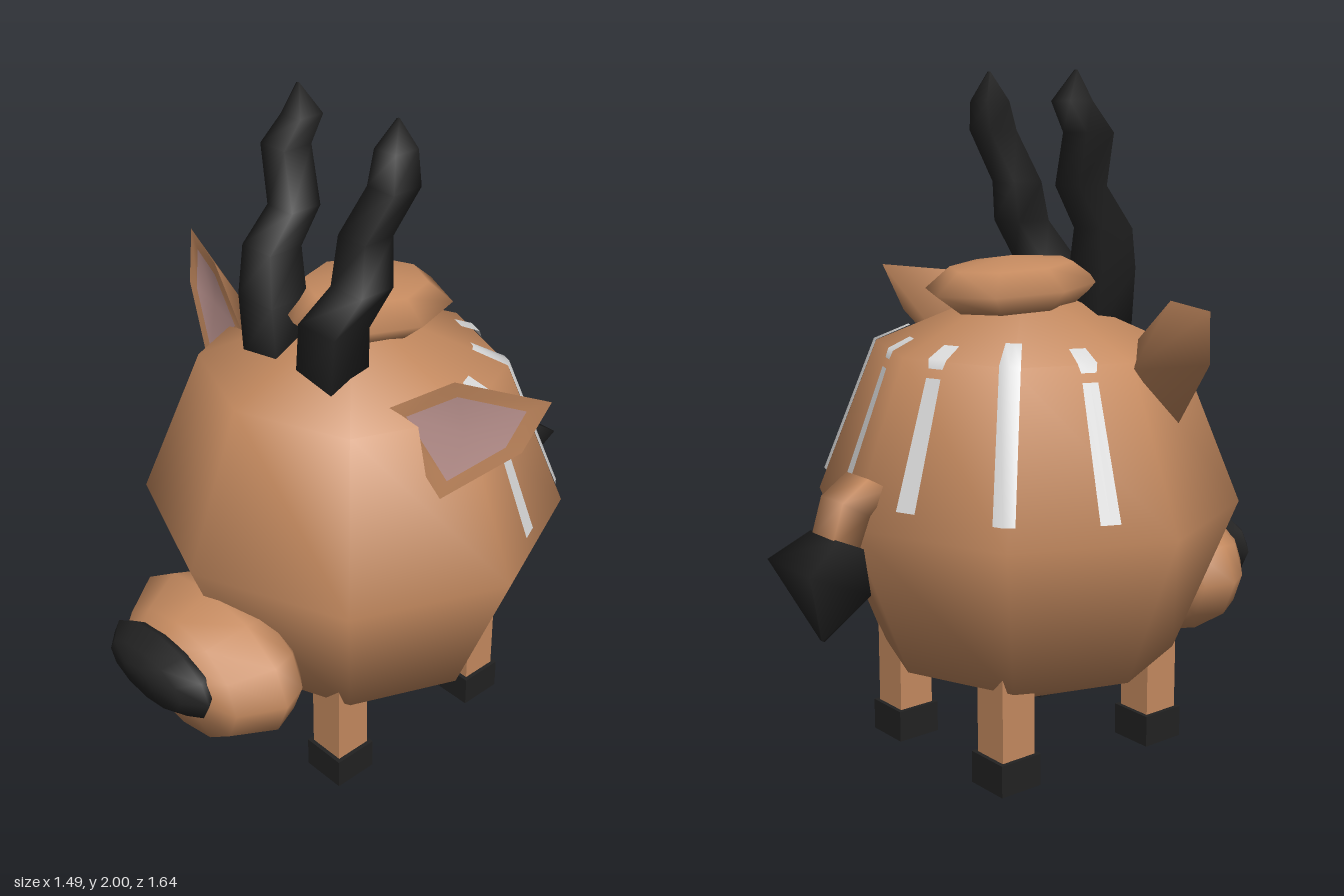
import * as THREE from 'three';

const mat = (name, color, side = THREE.FrontSide) => {
  const m = new THREE.MeshStandardMaterial({ color, side });
  m.name = name;
  return m;
};

// Geometry from a flat point list and triangle indices, with smooth normals
function surface(points, index) {
  const g = new THREE.BufferGeometry();
  g.setAttribute('position', new THREE.Float32BufferAttribute(points.flat(), 3));
  g.setIndex(index);
  g.computeVertexNormals();
  return g;
}

// Loft through sections [x, y, z, halfWidth, halfDepth]; tilt turns the rings about x
// (0 = advancing along +z, -90 = advancing along +y)
function loft(sections, sides, tilt = 0) {
  const t = THREE.MathUtils.degToRad(tilt);
  const square = sides === 4;
  const k = square ? Math.SQRT2 : 1, phase = square ? Math.PI / 4 : 0;
  const pts = [], idx = [];
  for (const [x, y, z, rx, rv] of sections) {
    for (let i = 0; i < sides; i++) {
      const a = phase + (i / sides) * Math.PI * 2;
      const v = Math.sin(a) * rv * k;
      pts.push([x + Math.cos(a) * rx * k, y + v * Math.cos(t), z + v * Math.sin(t)]);
    }
  }
  const last = sections.length - 1;
  const start = pts.push(sections[0].slice(0, 3)) - 1;
  const end = pts.push(sections[last].slice(0, 3)) - 1;
  for (let i = 0; i < sides; i++) {
    const j = (i + 1) % sides;
    for (let r = 0; r < last; r++) {
      const a = r * sides + i, b = r * sides + j;
      idx.push(a, b, b + sides, a, b + sides, a + sides);
    }
    idx.push(start, j, i, end, last * sides + i, last * sides + j);
  }
  return surface(pts, idx);
}

const R = 0.65, BODY_Y = 0.76, Z_SCALE = 0.95;

// Point on the eight-sided body at an azimuth (degrees from the side to the back) and height
function bodyPoint(azimuth, dy, lift, s) {
  const h = R * Math.SQRT1_2;
  let r = dy < h ? R + (h - R) * (dy / h) : h * (R - dy) / (R - h);
  const rad = THREE.MathUtils.degToRad;
  const local = ((azimuth % 45) + 45) % 45;
  r = r * Math.cos(rad(22.5)) / Math.cos(rad(local - 22.5)) + lift;
  const a = rad(azimuth);
  return [s * r * Math.cos(a), BODY_Y + dy + lift * 0.6, -r * Math.sin(a) * Z_SCALE];
}

// Thin painted band running up the body
function stripe(azimuth, heights, s) {
  const pts = [], idx = [];
  heights.forEach((dy, row) => {
    const half = dy > 0.45 ? 3.8 : 2.9;
    for (const o of [-half, 0, half]) pts.push(bodyPoint(azimuth + o, dy, 0.01, s));
    if (row === 0) return;
    for (let c = 0; c < 2; c++) {
      const a = (row - 1) * 3 + c, b = a + 1;
      if (s > 0) idx.push(a, b, b + 3, a, b + 3, a + 3);
      else idx.push(a, b + 3, b, a, a + 3, b + 3);
    }
  });
  return surface(pts, idx);
}

// Cupped ear: pointed back shell with a rim, and a recessed inner face
function ear(s) {
  let rim = [[0.745, 1.39, 0], [0.5, 1.385, 0.1], [0.3, 1.24, 0.16],
    [0.5, 1.04, 0.14], [0.7, 1.24, 0.05]];
  if (s < 0) rim = rim.map(([x, y, z]) => [-x, y, z]).reverse();
  const centre = [s * 0.53, 1.235, 0.085], apex = [s * 0.46, 1.2, 0.0];
  const inner = rim.map(p => p.map((v, i) => v + (centre[i] - v) * 0.28));
  const n = rim.length, shell = [], face = [];
  for (let i = 0; i < n; i++) {
    const j = (i + 1) % n;
    shell.push(i, j, n + j, i, n + j, n + i);
    shell.push(2 * n + i, 3 * n, 2 * n + j);
    face.push(i, j, n);
  }
  return {
    shell: surface([...rim, ...inner, ...rim, apex], shell),
    face: surface([...inner, centre], face),
  };
}

export function createModel() {
  const model = new THREE.Group();
  model.name = 'antelope';
  const tan = mat('tan fur', 0xc68b60);
  const tanThin = mat('tan ear fur', 0xc68b60, THREE.DoubleSide);
  const black = mat('black', 0x222222);
  const pink = mat('pink inner ear', 0xc49a96, THREE.DoubleSide);
  const white = mat('pale stripe', 0xd8d8d8, THREE.DoubleSide);
  const add = (name, geometry, material, x = 0, y = 0, z = 0) => {
    const m = new THREE.Mesh(geometry, material);
    m.name = name;
    m.position.set(x, y, z);
    model.add(m);
    return m;
  };

  // Round body and the hair cap on top
  add('body', new THREE.SphereGeometry(R, 8, 4).scale(1, 1, Z_SCALE), tan, 0, BODY_Y, 0);
  const cap = add('hairCap', new THREE.SphereGeometry(1, 8, 4).scale(0.235, 0.085, 0.27),
    tan, 0, 1.395, -0.05);
  cap.rotation.x = -0.06;

  // Snout, nose and lower jaw
  add('snout', loft([[0, 0.42, 0.41, 0.22, 0.14], [0, 0.445, 0.47, 0.3, 0.2],
    [0, 0.45, 0.56, 0.34, 0.22], [0, 0.435, 0.68, 0.26, 0.185],
    [0, 0.48, 0.75, 0.18, 0.1]], 12), tan);
  add('nose', loft([[0, 0.49, 0.69, 0.18, 0.09], [0, 0.49, 0.745, 0.225, 0.122],
    [0, 0.495, 0.8, 0.165, 0.08], [0, 0.5, 0.82, 0.07, 0.03]], 12), black);
  add('jaw', loft([[0, 0.225, 0.33, 0.06, 0.055], [0, 0.22, 0.46, 0.06, 0.07],
    [0, 0.23, 0.59, 0.06, 0.025]], 4), tan);

  // Tail and its tuft
  add('tail', loft([[0, 0.89, -0.56, 0.055, 0.04], [0, 0.83, -0.635, 0.055, 0.05],
    [0, 0.72, -0.675, 0.055, 0.045]], 4, 120), tan);
  add('tailTuft', loft([[0, 0.74, -0.665, 0.07, 0.045], [0, 0.645, -0.725, 0.11, 0.105],
    [0, 0.46, -0.72, 0.004, 0.004]], 4, 115), black);

  for (const s of [-1, 1]) {
    const side = s > 0 ? 'left' : 'right';

    // Wavy horns
    add(side + 'Horn', loft([[0.113, 1.26, 0.18, 0.073, 0.07], [0.128, 1.44, 0.185, 0.072, 0.065],
      [0.185, 1.56, 0.135, 0.06, 0.058], [0.145, 1.68, 0.085, 0.052, 0.052],
      [0.215, 1.83, 0.05, 0.05, 0.05], [0.185, 1.915, 0.015, 0.04, 0.042],
      [0.195, 2, 0.02, 0.003, 0.003]].map(([x, ...rest]) => [s * x, ...rest]), 4, -90), black);

    // Ears
    const e = ear(s);
    add(side + 'Ear', e.shell, tanThin);
    add(side + 'InnerEar', e.face, pink);

    // Back stripes
    const bands = [[17.5, [0.05, 0.41]], [17.5, [0.435, 0.46, 0.49]],
      [46, [0.06, 0.46, 0.505]], [75, [0.06, 0.41]], [75, [0.435, 0.46, 0.49]]];
    bands.forEach(([az, heights], i) =>
      add(side + 'Stripe' + (i + 1), stripe(az, heights, s), white));

    // Legs and hooves
    for (const z of [0.28, -0.275]) {
      const end = z > 0 ? 'Front' : 'Back';
      add(side + end + 'Leg', new THREE.BoxGeometry(0.115, 0.32, 0.115), tan, s * 0.25, 0.24, z);
      add(side + end + 'Hoof', new THREE.BoxGeometry(0.14, 0.095, 0.14), black, s * 0.25, 0.0475, z);
    }
  }
  return model;
}
